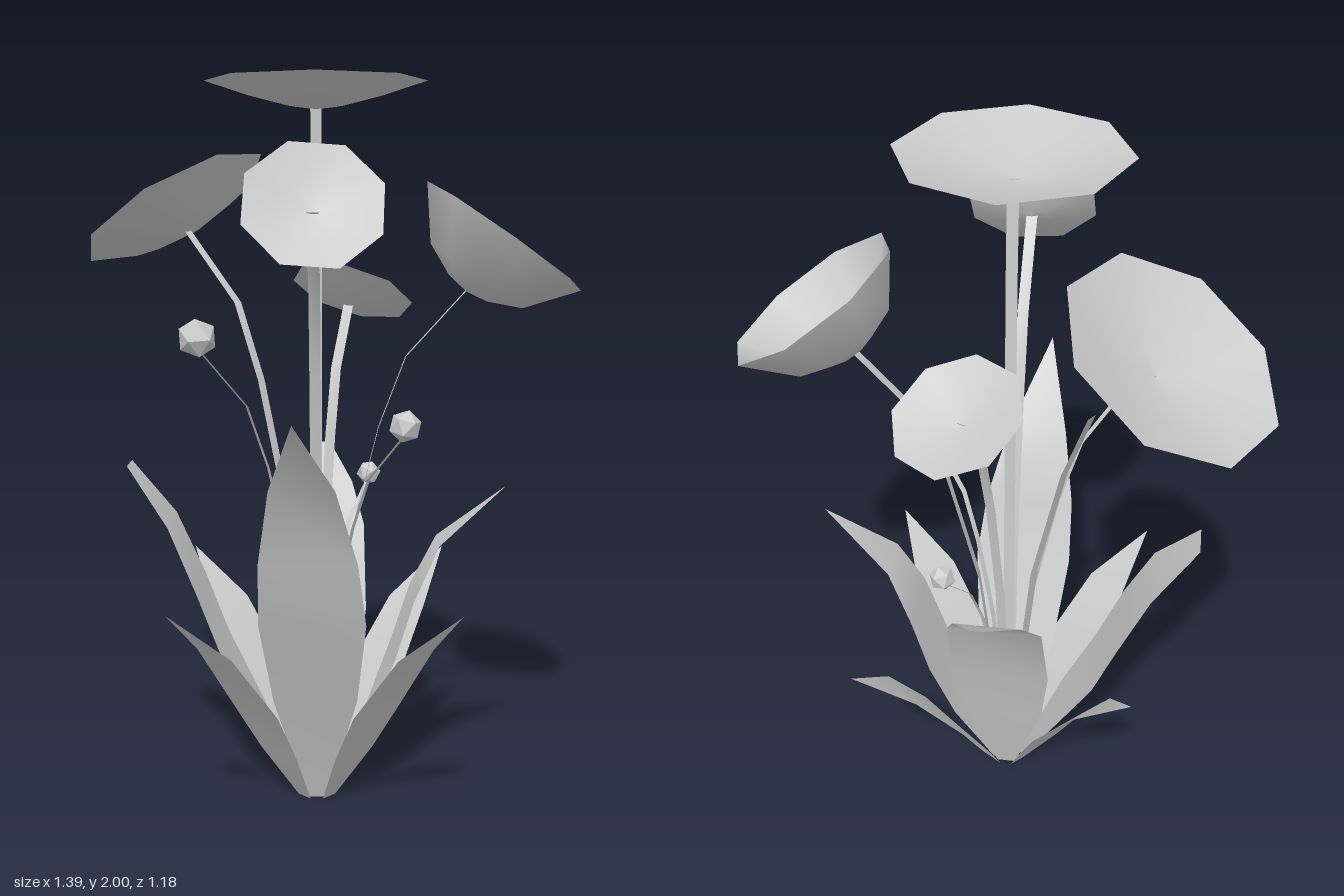
import * as THREE from 'three';

const CENTRE = new THREE.Vector3(-0.03, 0, -0.03);
const UP = new THREE.Vector3(0, 1, 0);
const thin = new THREE.MeshStandardMaterial({ color: 0xcccccc, side: THREE.DoubleSide });
const faceted = new THREE.MeshStandardMaterial({ color: 0xcccccc, flatShading: true });

// Flat strip that follows a path, widened along one sideways direction
function ribbon(path, halfWidths, side) {
  const positions = [], index = [];
  path.forEach((p, i) => {
    for (const s of [-1, 1]) {
      const v = p.clone().addScaledVector(side, s * halfWidths[i]);
      positions.push(v.x, v.y, v.z);
    }
    if (i > 0) {
      const a = 2 * i - 2;
      index.push(a, a + 1, a + 2, a + 1, a + 3, a + 2);
    }
  });
  const geo = new THREE.BufferGeometry();
  geo.setAttribute('position', new THREE.Float32BufferAttribute(positions, 3));
  geo.setIndex(index);
  geo.computeVertexNormals();
  return geo;
}

function add(parent, name, geo, material) {
  const mesh = new THREE.Mesh(geo, material);
  mesh.name = name;
  parent.add(mesh);
  return mesh;
}

// Leaf: sections are [distance from centre, height, half width]; sway bends the tip sideways
function addLeaf(parent, name, angle, sections, sway = 0) {
  const dir = new THREE.Vector3(Math.sin(angle), 0, Math.cos(angle));
  const side = new THREE.Vector3(dir.z, 0, -dir.x);
  const path = sections.map(([r, y], i) => CENTRE.clone()
    .addScaledVector(dir, r)
    .addScaledVector(side, sway * (i / (sections.length - 1)) ** 2)
    .setY(y));
  add(parent, name, ribbon(path, sections.map((s) => s[2]), side), thin);
}

// Stem: a flat strip that starts upright and leans out towards its tip
const LEAN = [[0, 0], [0.21, 0.5], [0.42, 0.74], [0.6, 0.875], [1, 1]];
function addStem(parent, name, tip, halfWidth) {
  const out = tip.clone().sub(CENTRE).setY(0);
  const side = new THREE.Vector3(out.z, 0, -out.x).normalize();
  const path = LEAN.map(([f, h]) => CENTRE.clone().addScaledVector(out, f).setY(tip.y * h));
  add(parent, name, ribbon(path, LEAN.map(() => halfWidth), side), thin);
}

// Flower: eight-sided open bowl, placed by its rim centre and facing direction
function addFlower(parent, { rim, facing, radius, depth, spin = 0, bulge = 0.52 }) {
  const flower = new THREE.Group();
  flower.name = 'flower';
  const n = new THREE.Vector3(...facing).normalize();
  const centre = new THREE.Vector3(...rim);
  const profile = [
    [0.001, -depth], [0.25 * radius, -depth * (0.7 + bulge * 0.34)],
    [0.6 * radius, -depth * bulge], [radius, 0],
  ].map(([x, y]) => new THREE.Vector2(x, y));
  const bowl = add(flower, 'petals', new THREE.LatheGeometry(profile, 8), thin);
  bowl.position.copy(centre);
  bowl.quaternion.setFromUnitVectors(UP, n)
    .multiply(new THREE.Quaternion().setFromAxisAngle(UP, spin));
  addStem(flower, 'flowerStem', centre.addScaledVector(n, 0.004 - depth), 0.015);
  parent.add(flower);
}

export function createModel() {
  const plant = new THREE.Group();
  plant.name = 'floweringPlant';

  // Four short leaves on the diagonals
  const shortLeaf = [[0.05, 0, 0.025], [0.15, 0.16, 0.075], [0.24, 0.31, 0.095],
    [0.38, 0.5, 0.07], [0.54, 0.64, 0]];
  for (let i = 0; i < 4; i++) addLeaf(plant, 'shortLeaf', Math.PI * (0.25 + i / 2), shortLeaf);

  // Four tall leaves on the axes: front, left, back, right
  addLeaf(plant, 'frontLeaf', 0, [[0.04, 0, 0.028], [0.16, 0.33, 0.115], [0.27, 0.58, 0.143],
    [0.33, 0.76, 0.13], [0.4, 0.97, 0.085], [0.61, 1.17, 0]], -0.05);
  addLeaf(plant, 'leftLeaf', Math.PI / 2, [[0.04, 0, 0.028], [0.15, 0.25, 0.095],
    [0.22, 0.44, 0.116], [0.27, 0.6, 0.105], [0.34, 0.75, 0.07], [0.53, 0.91, 0]], -0.01);
  addLeaf(plant, 'backLeaf', Math.PI, [[0.04, 0, 0.028], [0.12, 0.3, 0.115],
    [0.17, 0.5, 0.14], [0.25, 0.74, 0.13], [0.35, 0.85, 0.09], [0.48, 0.95, 0.015]], -0.02);
  addLeaf(plant, 'rightLeaf', -Math.PI / 2, [[0.04, 0, 0.028], [0.16, 0.25, 0.1],
    [0.26, 0.44, 0.13], [0.33, 0.62, 0.13], [0.41, 0.8, 0.11], [0.53, 0.96, 0.05]], -0.05);

  // Open flowers
  [
    { rim: [-0.03, 2, 0.015], facing: [0, 1, 0], radius: 0.295, depth: 0.073 },
    { rim: [-0.445, 1.67, -0.315], facing: [-0.59, 1, -0.28], radius: 0.295, depth: 0.08, spin: -0.12 },
    { rim: [0.48, 1.595, -0.03], facing: [0.57, 0.82, 0], radius: 0.257, depth: 0.18, bulge: 0.72 },
    { rim: [-0.03, 1.68, 0.427], facing: [0.08, 0.6, 1], radius: 0.183, depth: 0.045, spin: 0.39 },
    { rim: [0.07, 1.432, -0.27], facing: [0.3, 1, -0.48], radius: 0.18, depth: 0.045, spin: -0.22 },
  ].forEach((f) => addFlower(plant, f));

  // Closed buds on thin stems
  for (const [x, y, z, r] of [[-0.34, 1.335, 0.15, 0.054], [0.208, 1.1, 0.14, 0.045], [0.12, 0.9, -0.26, 0.036]]) {
    const bud = new THREE.Group();
    bud.name = 'bud';
    const ball = add(bud, 'budHead', new THREE.IcosahedronGeometry(r, 0), faceted);
    ball.position.set(x, y, z);
    ball.rotation.set(0.3, x * 4, 0.2);
    addStem(bud, 'budStem', new THREE.Vector3(x, y - r * 0.5, z), 0.008);
    plant.add(bud);
  }
  return plant;
}
